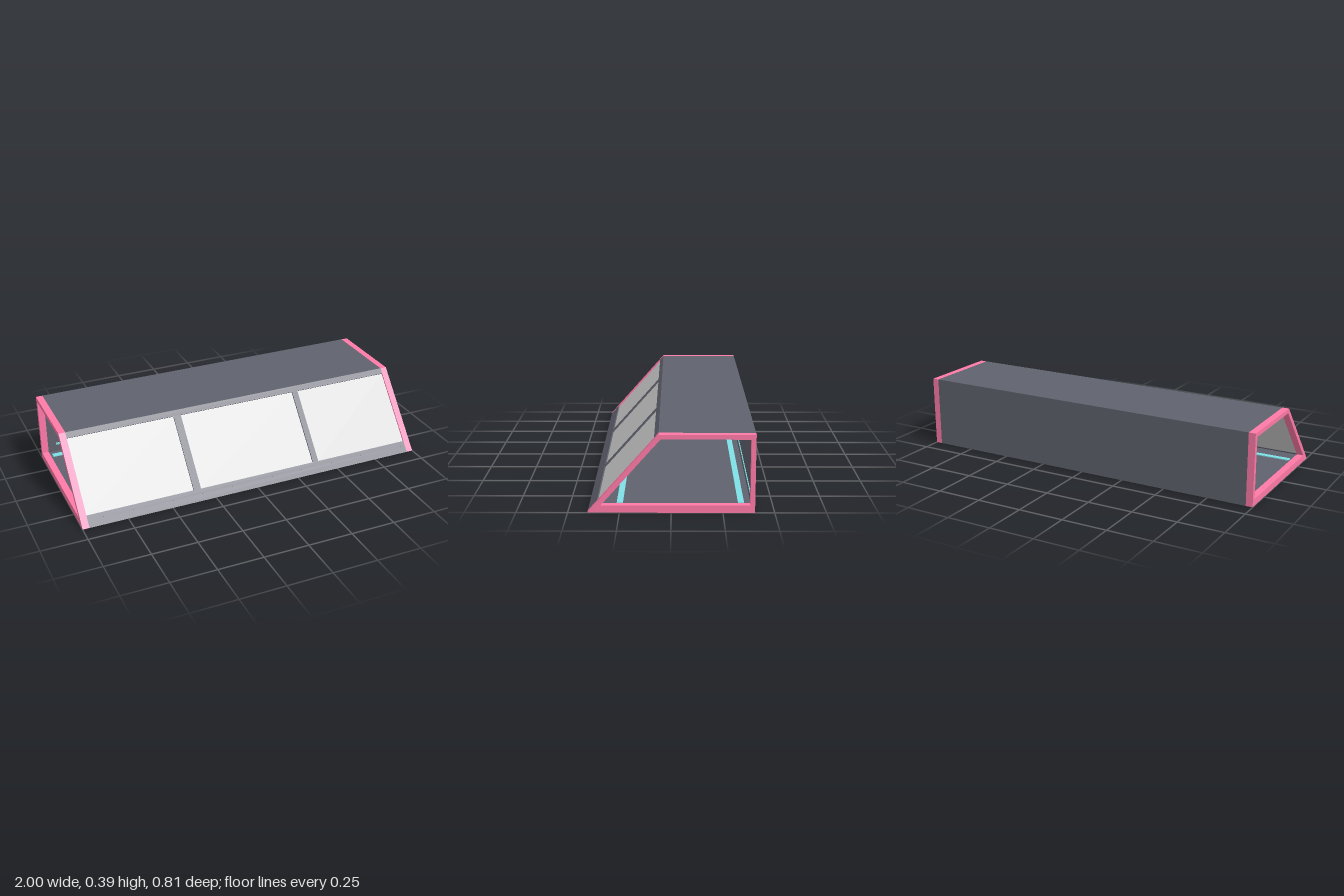
import * as THREE from 'three';

const HALF = 1, FRAME = 0.037, INNER = HALF - FRAME;
const mat = (color) => new THREE.MeshStandardMaterial({ color });

// Shape from [z, y] points
const shapeOf = (pts) => new THREE.Shape(pts.map(([z, y]) => new THREE.Vector2(z, y)));

// Extrude a z-y profile along x, starting at x0
function extrudeX(shape, x0, length) {
  const geo = new THREE.ExtrudeGeometry(shape, { depth: length, bevelEnabled: false });
  geo.rotateY(-Math.PI / 2).scale(1, 1, 1); // profile x -> z, depth -> -x
  geo.translate(x0 + length, 0, 0);
  return geo;
}

export function createModel() {
  const model = new THREE.Group();
  const shellMat = mat(0x60626e), frameMat = mat(0xff7aa8);
  const paneMat = mat(0xcccccc), stripMat = mat(0x7fe0e6);

  const add = (parent, name, geo, material) => {
    const mesh = new THREE.Mesh(geo, material);
    mesh.name = name;
    parent.add(mesh);
    return mesh;
  };
  const box = (parent, name, material, [x0, x1], [y0, y1], [z0, z1]) =>
    add(parent, name, new THREE.BoxGeometry(x1 - x0, y1 - y0, z1 - z0), material)
      .position.set((x0 + x1) / 2, (y0 + y1) / 2, (z0 + z1) / 2);

  // Floor, back wall and roof in one C-shaped section
  const shell = shapeOf([
    [0.405, 0], [0.378, 0.03], [-0.387, 0.03], [-0.387, 0.372],
    [0.076, 0.372], [0.06, 0.39], [-0.405, 0.39], [-0.405, 0],
  ]);
  add(model, 'shell', extrudeX(shell, -INNER, 2 * INNER), shellMat);

  // Open end frames
  const ring = shapeOf([[0.405, 0], [0.06, 0.39], [-0.405, 0.39], [-0.405, 0]]);
  ring.holes.push(shapeOf([[0.34, 0.037], [-0.382, 0.037], [-0.382, 0.366], [0.051, 0.366]]));
  add(model, 'leftEndFrame', extrudeX(ring, INNER, FRAME), frameMat);
  add(model, 'rightEndFrame', extrudeX(ring, -HALF, FRAME), frameMat);

  // Sloping front: local y runs up the slope, local z points outward
  const front = new THREE.Group();
  front.name = 'slopingFront';
  front.position.z = 0.405;
  front.rotation.x = -Math.atan2(0.345, 0.39);
  model.add(front);
  const full = [-INNER, INNER], depth = [-0.018, 0];
  const low = 0.067, high = 0.488;
  box(front, 'lowerRail', shellMat, full, [0.04, low], depth);
  box(front, 'upperRail', shellMat, full, [high, 0.512], depth);
  box(front, 'rightMullion', shellMat, [-0.362, -0.32], [low, high], depth);
  box(front, 'leftMullion', shellMat, [0.364, 0.398], [low, high], depth);

  // Window panes, set slightly back
  for (const span of [[-INNER, -0.362], [-0.32, 0.364], [0.398, INNER]])
    box(front, 'windowPane', paneMat, span, [low, high], [-0.016, -0.007]);

  // Light strips on the floor and the back wall
  for (const z of [0.25, -0.34])
    box(model, 'floorStrip', stripMat, [-0.95, 0.95], [0.028, 0.035], [z - 0.015, z + 0.015]);
  box(model, 'wallStrip', stripMat, [-0.915, 0.915], [0.072, 0.084], [-0.39, -0.383]);

  return model;
}
